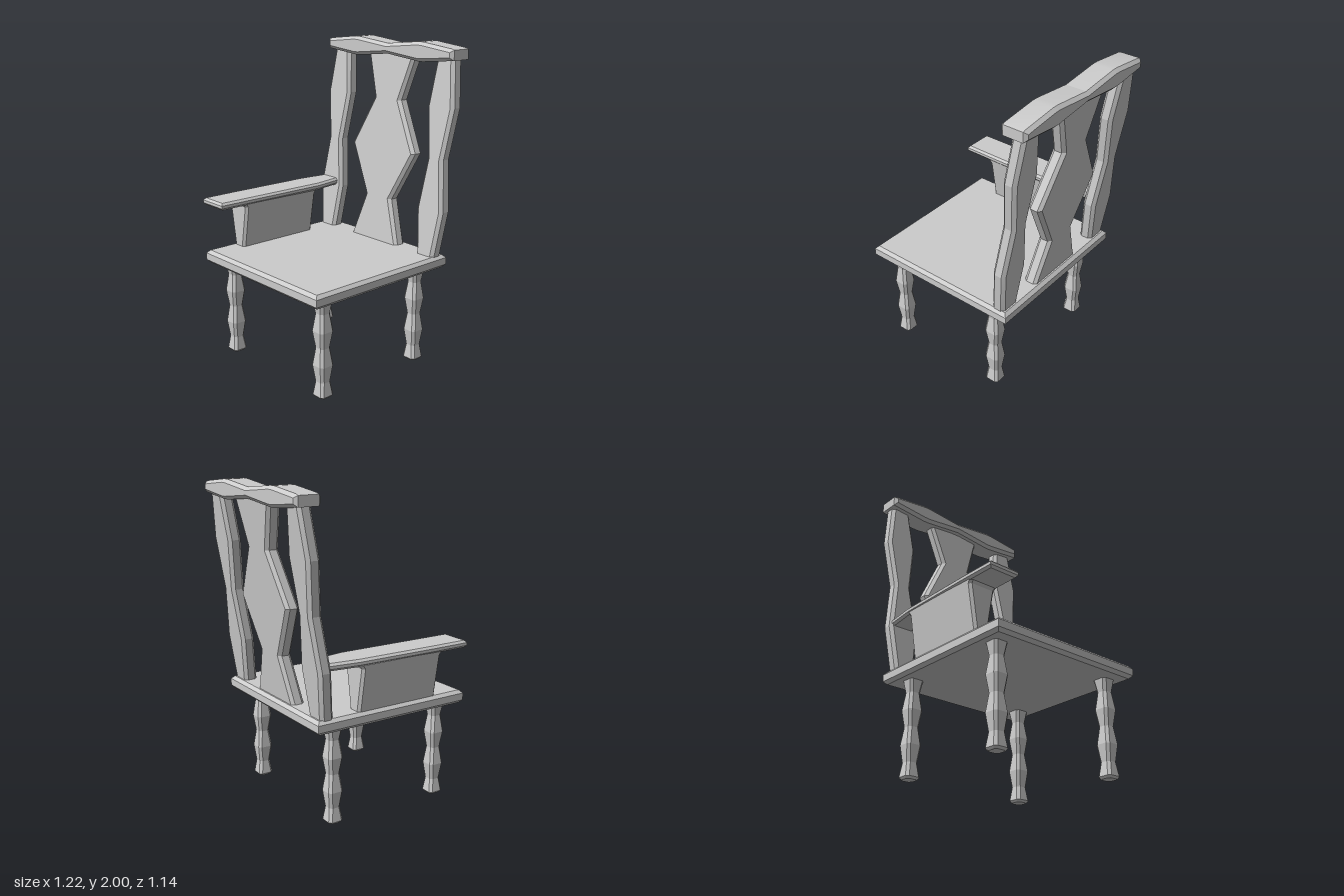
import * as THREE from 'three';
import { toCreasedNormals } from 'three/addons/utils/BufferGeometryUtils.js';

const material = new THREE.MeshStandardMaterial({ color: 0xcccccc });

// Flat outline extruded along z with a single chamfer, centred on z = 0.
function chamferedSlab(points, thickness, bevel = 0.02) {
  const shape = new THREE.Shape(points.map(([u, v]) => new THREE.Vector2(u, v)));
  const geometry = new THREE.ExtrudeGeometry(shape, {
    depth: thickness - 2 * bevel, bevelEnabled: true, bevelSegments: 1,
    bevelThickness: bevel, bevelSize: bevel, bevelOffset: -bevel,
  });
  return geometry.translate(0, 0, -(thickness / 2 - bevel));
}

// Outline mirrored about u = 0 from [halfWidth, height] pairs.
const mirrored = (profile) => [
  ...profile,
  ...profile.slice().reverse().map(([w, y]) => [-w, y]),
];

// Vertical loft through chamfered rectangles [y, halfX, halfZ].
function loft(rings, chamfer) {
  const positions = [];
  const index = [];
  for (const [y, a, b] of rings) {
    const c = chamfer;
    const ring = [[a, b - c], [a - c, b], [c - a, b], [-a, b - c],
      [-a, c - b], [c - a, -b], [a - c, -b], [a, c - b]];
    for (const [x, z] of ring) positions.push(x, y, z);
  }
  for (let r = 0; r < rings.length - 1; r++) {
    for (let i = 0; i < 8; i++) {
      const p = r * 8 + i, q = r * 8 + (i + 1) % 8;
      index.push(p, p + 8, q, q, p + 8, q + 8);
    }
  }
  const top = (rings.length - 1) * 8;
  for (let i = 1; i < 7; i++) {
    index.push(0, i, i + 1, top, top + i + 1, top + i);
  }
  const geometry = new THREE.BufferGeometry();
  geometry.setAttribute('position', new THREE.Float32BufferAttribute(positions, 3));
  geometry.setIndex(index);
  return geometry;
}

// Lean a backrest part towards +x as it rises.
function lean(geometry) {
  const p = geometry.attributes.position;
  for (let i = 0; i < p.count; i++) {
    p.setX(i, p.getX(i) + 0.393 + (p.getY(i) - 0.69) * 0.113);
  }
  return geometry;
}

export function createModel() {
  const chair = new THREE.Group();
  chair.name = 'chair';

  const add = (name, geometry, x = 0, y = 0, z = 0) => {
    const mesh = new THREE.Mesh(toCreasedNormals(geometry, 0.2), material);
    mesh.name = name;
    mesh.position.set(x, y, z);
    chair.add(mesh);
  };

  // Seat board
  const seat = chamferedSlab([[-0.61, -0.53], [0.467, -0.53], [0.467, 0.55], [-0.61, 0.55]], 0.085);
  add('seat', seat.rotateX(Math.PI / 2), 0, 0.652, 0);

  // Turned legs
  const legRings = [[0, 0.038], [0.014, 0.049], [0.1, 0.037], [0.205, 0.05], [0.315, 0.036],
    [0.42, 0.05], [0.53, 0.036], [0.63, 0.052]].map(([y, h]) => [y, h, h]);
  for (const x of [-0.47, 0.3]) {
    for (const z of [-0.42, 0.44]) add('leg', loft(legRings, 0.016), x, 0, z);
  }

  // Backrest posts and splat
  const backPart = (profile) =>
    lean(chamferedSlab(mirrored(profile), 0.088).rotateY(-Math.PI / 2));
  const post = [[0.065, 0.66], [0.104, 0.98], [0.06, 1.3], [0.104, 1.62], [0.066, 1.92]];
  add('backPost', backPart(post), 0, 0, 0.465);
  add('backPost', backPart(post), 0, 0, -0.447);
  add('backSplat', backPart([[0.22, 0.66], [0.115, 0.98], [0.28, 1.3], [0.115, 1.62], [0.208, 1.92]]),
    0, 0, 0.012);

  // Wavy top rail
  const rail = [[-0.55, 1.905], [-0.3, 1.88], [-0.26, 1.88], [0, 1.907], [0.26, 1.88], [0.3, 1.88], [0.55, 1.905],
    [0.55, 1.968], [0.525, 1.975], [0.3, 2], [0.26, 2], [0, 1.973], [-0.26, 2], [-0.3, 2], [-0.525, 1.975], [-0.55, 1.968]];
  add('topRail', chamferedSlab(rail, 0.17).rotateY(-Math.PI / 2), 0.52, 0, 0.015);

  // Single armrest and its flared support panel
  const arm = [[-0.592, -0.57], [-0.35, -0.57], [0.2, -0.56], [0.44, -0.53],
    [0.44, -0.393], [0.2, -0.354], [-0.592, -0.365]];
  add('armrest', chamferedSlab(arm, 0.046, 0.014).rotateX(Math.PI / 2), 0, 1.006, 0);
  add('armSupport', loft([[0.68, 0.288, 0.045], [0.965, 0.288, 0.092], [0.99, 0.305, 0.096]], 0.016),
    -0.11, 0, -0.464);

  return chair;
}
